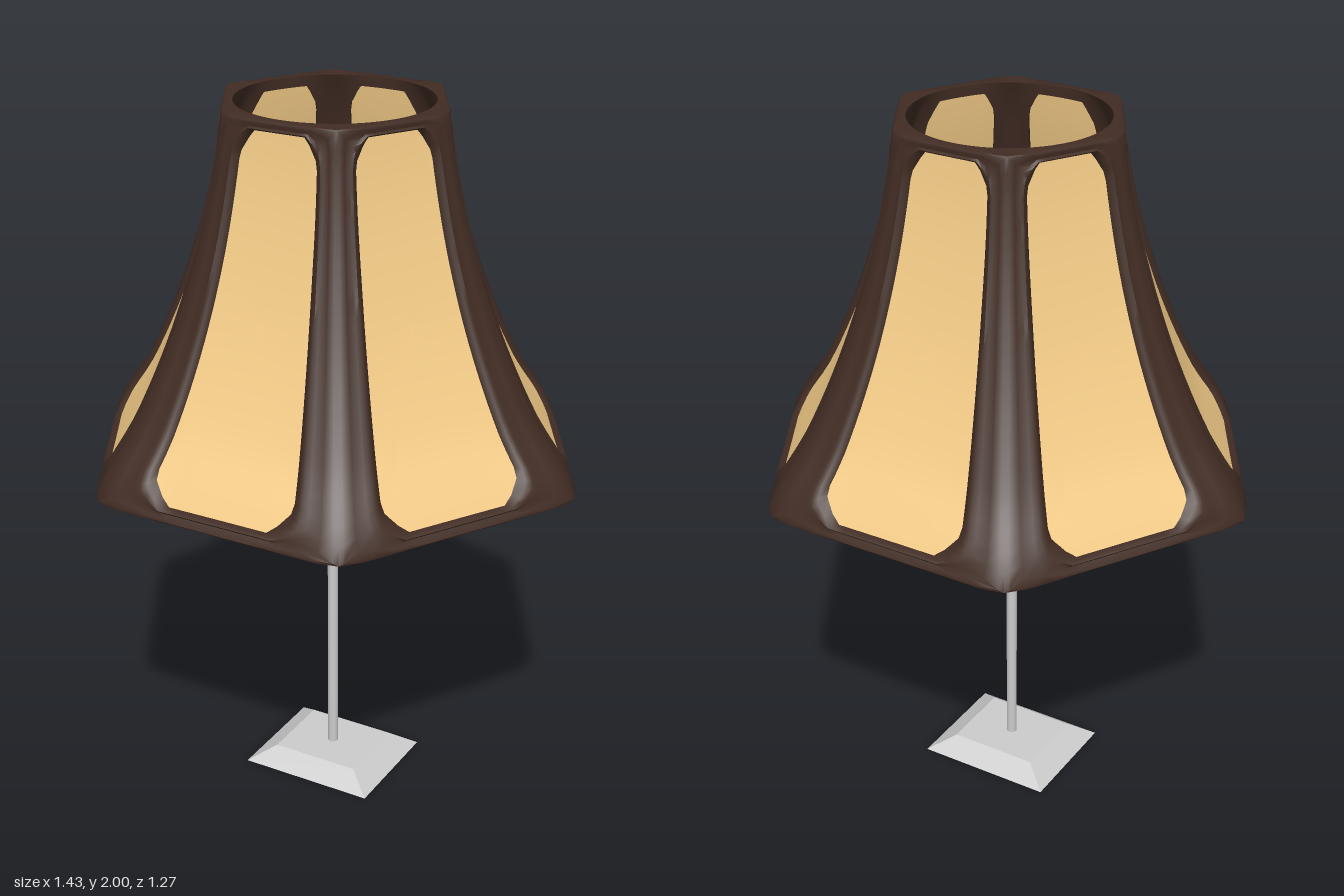
import * as THREE from 'three';
import { mergeGeometries, mergeVertices, toCreasedNormals } from 'three/addons/utils/BufferGeometryUtils.js';

const Y0 = 1.015, Y1 = 2.0;

// Profiles sampled evenly from the bottom to the top of the shade
const profile = (values) => {
  const curve = new THREE.SplineCurve(values.map((v, i) => new THREE.Vector2(i, v)));
  return (y) => curve.getPoint(THREE.MathUtils.clamp((y - Y0) / (Y1 - Y0), 0, 1)).y;
};
const apothem = profile([0.637, 0.525, 0.437, 0.37, 0.32, 0.29]);
const windowHalf = profile([0.228, 0.19, 0.16, 0.138, 0.123, 0.112]);

// Hexagon with softened corners; phi is measured from the middle of a side
function outerRadius(phi, y) {
  const p = 32;
  const sum = [0, Math.PI / 3, -Math.PI / 3]
    .reduce((t, o) => t + Math.pow(Math.max(0, Math.cos(phi + o)), p), 0);
  return apothem(y) / Math.pow(sum, 1 / p);
}

// The inside follows the hexagon, turning into a circle at both rims
function innerRadius(phi, y) {
  const t = (2 * (y - Y0)) / (Y1 - Y0) - 1;
  return THREE.MathUtils.lerp(outerRadius(phi, y) - 0.032, apothem(y) - 0.025, Math.pow(Math.abs(t), 8));
}

const polar = (r, phi, y) => [r * Math.sin(phi), y, r * Math.cos(phi)];

// Counter-clockwise walk round the unit square
function squareLoop() {
  const pts = [], nv = 24, nh = 12;
  for (let i = 0; i < nv; i++) pts.push([1, -1 + (2 * i) / nv]);
  for (let i = 0; i < nh; i++) pts.push([1 - (2 * i) / nh, 1]);
  for (let i = 0; i < nv; i++) pts.push([-1, 1 - (2 * i) / nv]);
  for (let i = 0; i < nh; i++) pts.push([-1 + (2 * i) / nh, -1]);
  return pts;
}
const loop = squareLoop();

// Point of the window with cut corners; k shrinks it towards the middle
function windowPoint([s, t], k = 1) {
  const c = k * Math.min(1, 10.03 / (Math.abs(s) / 0.3 + Math.abs(t) / 0.13));
  const y = THREE.MathUtils.lerp(1.05, 1.97, (t * c + 1) / 2);
  return { phi: Math.atan((s * c * windowHalf(y)) / apothem(y)), y };
}

// Joins rings of points into a surface
function skin(rings, skip = () => false) {
  const n = loop.length, index = [];
  for (let i = 0; i < rings.length - 1; i++) {
    for (let k = 0; k < n; k++) {
      const m = (k + 1) % n;
      if (skip(i, k, m)) continue;
      const a = i * n + k, b = a + n, c = (i + 1) * n + m, d = i * n + m;
      index.push(a, b, c, a, c, d);
    }
  }
  const g = new THREE.BufferGeometry();
  g.setAttribute('position', new THREE.Float32BufferAttribute(rings.flat(2), 3));
  g.setIndex(index);
  return g;
}

// One sixth of the frame: window edge, beaded outside, rim, inside, window edge
function frameSector() {
  const section = [
    [0, 0.014], [0.1, 0.001], [0.22, -0.003], [0.36, 0.003], [0.65, 0.001], [0.9, 0], [1, 0.003],
    [1, 'in'], [0.75, 'in'], [0.5, 'in'], [0.25, 'in'], [0, 'in'], [0, 0.014],
  ];
  const rings = section.map(([v, depth]) => loop.map((st) => {
    const w = windowPoint(st);
    const phi = THREE.MathUtils.lerp(w.phi, (st[0] * Math.PI) / 6, v);
    const y = THREE.MathUtils.lerp(w.y, THREE.MathUtils.lerp(Y0, Y1, (st[1] + 1) / 2), v);
    return polar(depth === 'in' ? innerRadius(phi, y) : outerRadius(phi, y) - depth, phi, y);
  }));
  // no wall where neighbouring sixths meet
  const seam = (k, m) => Math.abs(loop[k][0]) === 1 && loop[k][0] === loop[m][0];
  return skin(rings, (i, k, m) => i === 6 && seam(k, m));
}

// Thin lampshade panel filling one window
function panelGeometry() {
  const rings = [];
  for (let j = 0; j <= 8; j++) {
    rings.push(loop.map((st) => {
      const { phi, y } = windowPoint(st, j / 8);
      return polar(outerRadius(phi, y) - 0.014, phi, y);
    }));
  }
  const g = skin(rings);
  g.computeVertexNormals();
  return g;
}

// Rectangular plinth with sloping sides
function baseGeometry() {
  const g = new THREE.BoxGeometry(0.4, 0.045, 0.335);
  const p = g.attributes.position;
  for (let i = 0; i < p.count; i++) {
    if (p.getY(i) > 0) p.setXYZ(i, p.getX(i) * 0.65, p.getY(i), p.getZ(i) * 0.66);
  }
  g.translate(0, 0.0265, 0.0125);
  g.computeVertexNormals();
  return g;
}

export function createModel() {
  const model = new THREE.Group();
  const grey = new THREE.MeshStandardMaterial({ color: 0xcccccc });
  const brown = new THREE.MeshStandardMaterial({ color: 0x412c23 });
  const cream = new THREE.MeshStandardMaterial({ color: 0xf5cd88, side: THREE.DoubleSide });
  const add = (name, geometry, material, parent = model) => {
    const mesh = new THREE.Mesh(geometry, material);
    mesh.name = name;
    parent.add(mesh);
    return mesh;
  };

  // Stand
  add('base', baseGeometry(), grey);
  const pole = add('pole', new THREE.CylinderGeometry(0.015, 0.015, 1.04, 20), grey);
  pole.position.set(0, 0.56, 0.0125);

  // Shade
  const shade = new THREE.Group();
  shade.name = 'shade';
  model.add(shade);
  const sector = frameSector(), panel = panelGeometry(), sectors = [];
  for (let i = 0; i < 6; i++) {
    sectors.push(sector.clone().rotateY((i * Math.PI) / 3));
    add('shadePanel', panel, cream, shade).rotation.y = (i * Math.PI) / 3;
  }
  const frame = mergeVertices(mergeGeometries(sectors), 1e-4);
  add('shadeFrame', toCreasedNormals(frame, 0.9), brown, shade);
  return model;
}
